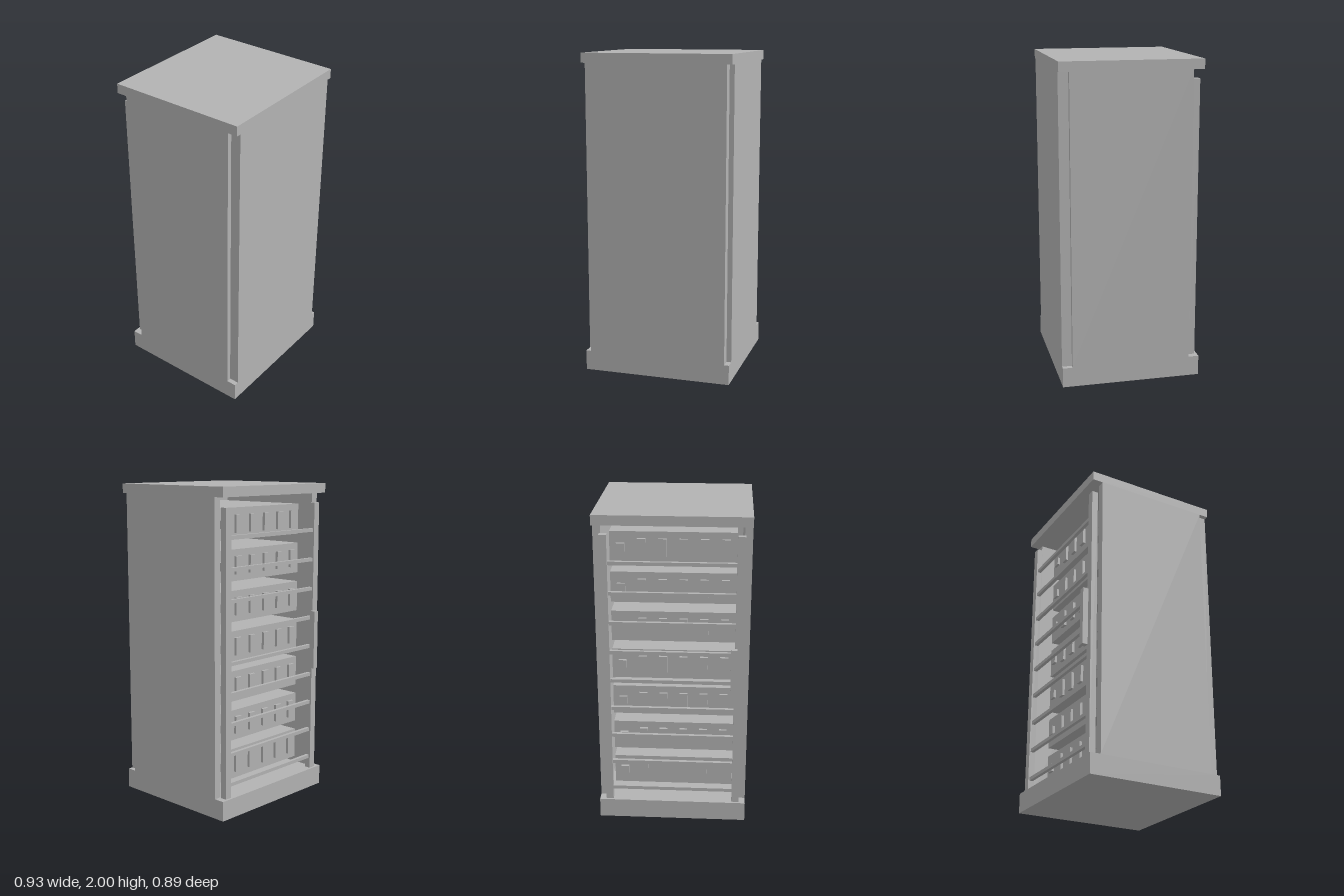
import * as THREE from 'three';

export function createModel() {
  const model = new THREE.Group();
  model.name = 'equipmentCabinet';

  const grey = new THREE.MeshStandardMaterial({ color: 0xb3b3b3 });
  grey.name = 'plain grey';

  // Box given by its lower and upper limits on each axis
  function box(name, [x0, x1], [y0, y1], [z0, z1], parent = model) {
    const mesh = new THREE.Mesh(new THREE.BoxGeometry(x1 - x0, y1 - y0, z1 - z0), grey);
    mesh.name = name;
    mesh.position.set((x0 + x1) / 2, (y0 + y1) / 2, (z0 + z1) / 2);
    parent.add(mesh);
    return mesh;
  }

  // Cabinet shell, open at the back
  box('base', [-0.467, 0.467], [0, 0.125], [-0.427, 0.447]);
  box('topSlab', [-0.467, 0.467], [1.94, 2], [-0.427, 0.447]);
  box('frontPanel', [-0.437, 0.437], [0.125, 1.94], [0.385, 0.447]);
  box('leftSidePanel', [0.42, 0.467], [0.125, 1.94], [-0.36, 0.385]);
  box('rightSidePanel', [-0.467, -0.42], [0.125, 1.94], [-0.36, 0.385]);

  // Stacked equipment units, each with one square and five tall sockets
  for (let i = 0; i < 7; i++) {
    const unit = new THREE.Group();
    unit.name = 'equipmentUnit' + (i + 1);
    unit.position.y = 0.273 + i * 0.25;
    model.add(unit);
    box('unitBody', [-0.38, 0.38], [-0.096, 0.096], [-0.28, 0.385], unit);
    for (let k = 0; k < 6; k++) {
      const x = 0.315 - k * 0.126;
      const h = k === 0 ? 0.026 : 0.055;
      box(k === 0 ? 'squareSocket' : 'tallSocket',
        [x - 0.025, x + 0.025], [-h, h], [-0.297, -0.28], unit);
    }
  }

  // Rear door: two posts, nine crossbars and a handle
  const door = new THREE.Group();
  door.name = 'rearDoor';
  model.add(door);
  box('leftDoorPost', [0.38, 0.427], [0.125, 1.88], [-0.412, -0.372], door);
  box('rightDoorPost', [-0.427, -0.38], [0.125, 1.88], [-0.412, -0.372], door);
  for (let i = 0; i < 9; i++) {
    const y = 0.203 + i * 0.188;
    box('doorCrossbar', [-0.38, 0.38], [y - 0.011, y + 0.011], [-0.403, -0.381], door);
  }
  box('doorHandle', [-0.392, -0.356], [0.815, 1.19], [-0.447, -0.412], door);

  return model;
}
